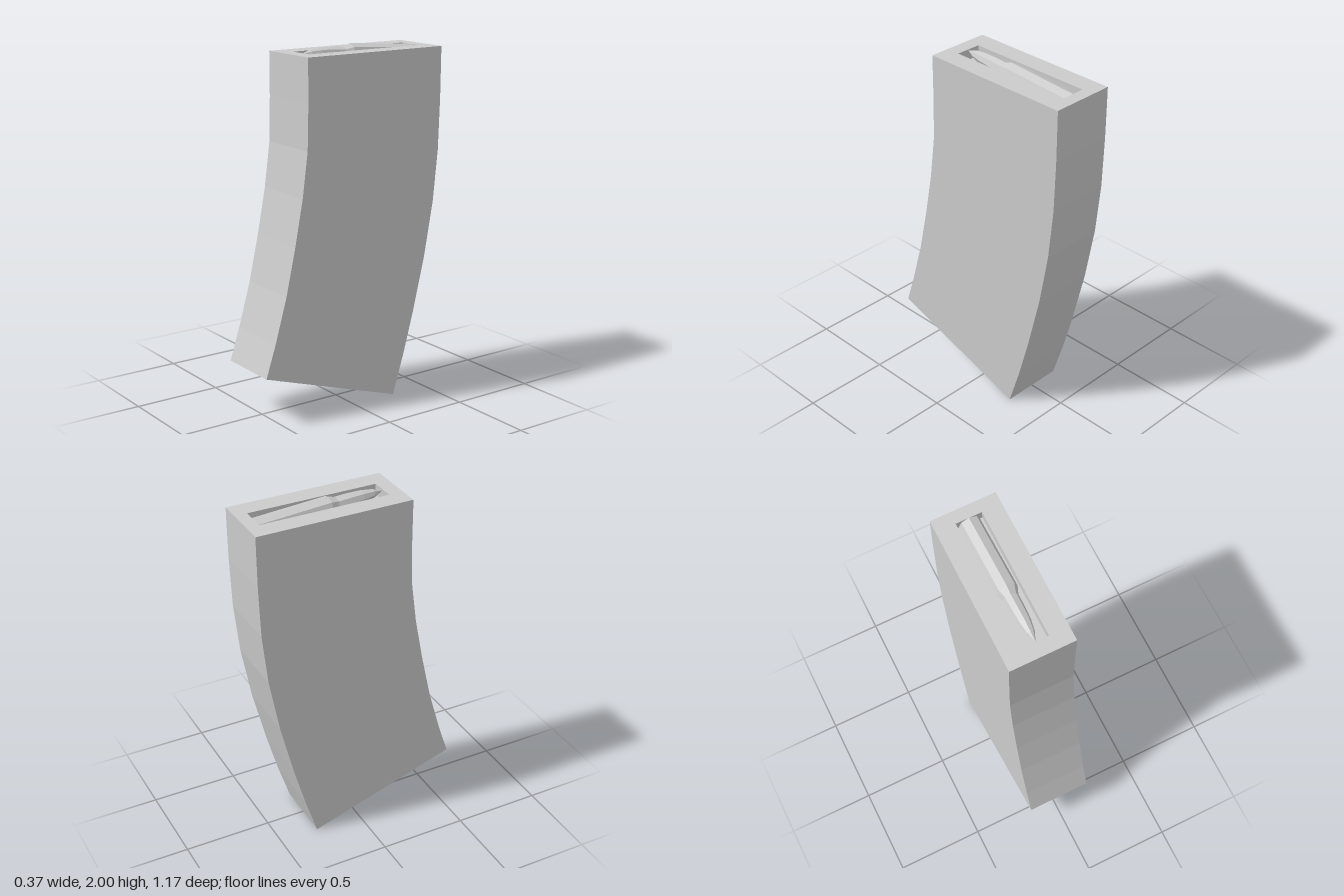
import * as THREE from 'three';

const HALF_WIDTH = 0.183, TOP = 1.97, FLOOR = 1.91;
const FRONT = 0.306, BACK = -0.585;

const material = new THREE.MeshStandardMaterial({ color: 0xcccccc, flatShading: true });

function addPart(parent, name, geometry) {
  const mesh = new THREE.Mesh(geometry, material);
  mesh.name = name;
  parent.add(mesh);
  return mesh;
}

const rectangle = (x0, y0, x1, y1) =>
  [[x0, y0], [x1, y0], [x1, y1], [x0, y1]].map(([x, y]) => new THREE.Vector2(x, y));

export function createModel() {
  const model = new THREE.Group();
  model.name = 'magazine';

  // Curved box: side profile as (z, y), extruded across the width
  const frontEdge = [[FRONT, FLOOR], [FRONT, 1.73], [0.312, 1.48], [0.345, 1.23],
    [0.395, 0.97], [0.453, 0.71], [0.525, 0.46], [0.585, 0.277]];
  const backEdge = [[BACK, FLOOR], [-0.583, 1.68], [-0.573, 1.39], [-0.543, 1.10],
    [-0.486, 0.785], [-0.41, 0.47], [-0.343, 0.225], [-0.272, 0]];
  const profile = [...frontEdge, ...backEdge.reverse()].map(([z, y]) => new THREE.Vector2(z, y));
  const body = new THREE.ExtrudeGeometry(new THREE.Shape(profile),
    { depth: 2 * HALF_WIDTH, bevelEnabled: false });
  body.rotateY(-Math.PI / 2).translate(HALF_WIDTH, 0, 0);
  addPart(model, 'body', body);

  // Top rim with the feed slot; the body's top forms the slot floor
  const rim = new THREE.Shape(rectangle(-HALF_WIDTH, -FRONT, HALF_WIDTH, -BACK));
  rim.holes.push(new THREE.Path(rectangle(-0.073, -0.225, 0.073, 0.515)));
  const rimGeometry = new THREE.ExtrudeGeometry(rim, { depth: TOP - FLOOR, bevelEnabled: false });
  rimGeometry.rotateX(-Math.PI / 2).translate(0, FLOOR, 0);
  addPart(model, 'feedSlotRim', rimGeometry);

  // Eight-sided cartridge lying in the slot, nose tilted slightly up
  const outline = [[0, -0.425], [0.06, -0.425], [0.06, 0], [0.042, 0.045], [0.041, 0.12],
    [0.036, 0.195], [0.024, 0.26], [0, 0.315]].map(([r, l]) => new THREE.Vector2(r, l));
  const cartridge = addPart(model, 'cartridge',
    new THREE.LatheGeometry(outline, 8).rotateX(Math.PI / 2));
  cartridge.position.set(0, 1.941, -0.09);
  cartridge.rotation.x = -0.07;

  return model;
}
